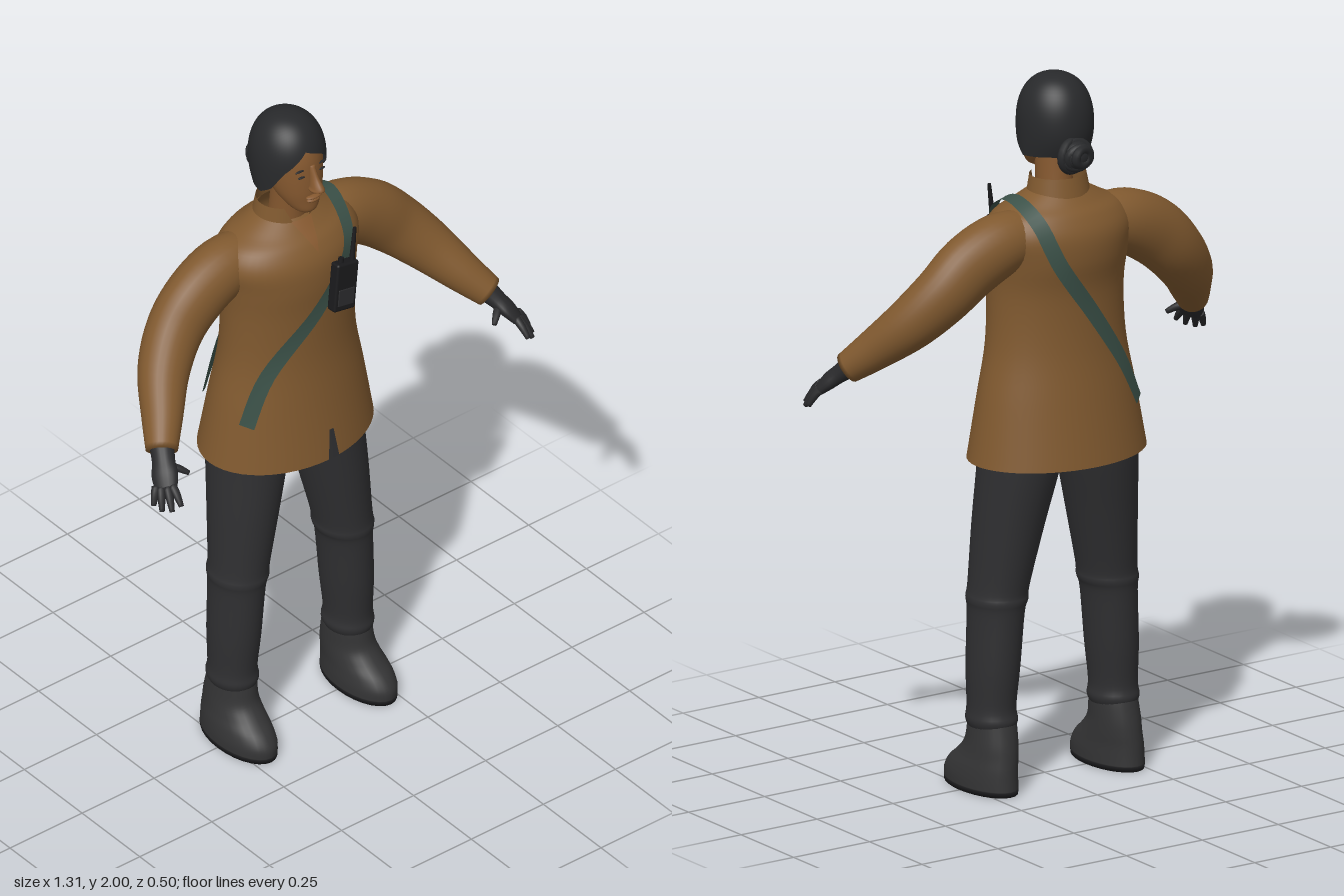
import * as THREE from 'three';
import { mergeVertices } from 'three/addons/utils/BufferGeometryUtils.js';
import { RoundedBoxGeometry } from 'three/addons/geometries/RoundedBoxGeometry.js';

const V = (x, y, z) => new THREE.Vector3(x, y, z);
const UP = V(0, 1, 0);

// Catmull-Rom interpolation of rows of numbers
function densify(rows, n = 5) {
  const out = [], at = i => rows[Math.min(rows.length - 1, Math.max(0, i))];
  for (let i = 0; i < rows.length - 1; i++)
    for (let k = 0; k < n; k++) {
      const t = k / n;
      out.push(rows[i].map((b, c) => {
        const a = at(i - 1)[c], d = at(i + 1)[c], e = at(i + 2)[c];
        return b + 0.5 * t * (d - a + t * (2 * a - 5 * b + 4 * d - e + t * (3 * (b - d) + e - a)));
      }));
    }
  out.push(rows[rows.length - 1]);
  return out;
}

// Linear lookup in a table whose column `key` ascends
function lookup(rows, key, value) {
  let i = 0;
  while (i < rows.length - 2 && rows[i + 1][key] < value) i++;
  const a = rows[i], b = rows[i + 1];
  const t = Math.min(1, Math.max(0, (value - a[key]) / (b[key] - a[key])));
  return a.map((n, c) => n + (b[c] - n) * t);
}

// Smooth surface from a rule fn(u, v) -> Vector3
function surface(fn, nu, nv) {
  const pos = [], index = [];
  for (let j = 0; j <= nv; j++)
    for (let i = 0; i <= nu; i++) pos.push(...fn(i / nu, j / nv).toArray());
  for (let j = 0; j < nv; j++)
    for (let i = 0; i < nu; i++) {
      const a = j * (nu + 1) + i, c = a + nu + 1;
      index.push(a, a + 1, c + 1, a, c + 1, c);
    }
  let g = new THREE.BufferGeometry();
  g.setAttribute('position', new THREE.Float32BufferAttribute(pos, 3));
  g.setIndex(index);
  g = mergeVertices(g);
  g.computeVertexNormals();
  return g;
}

// Elliptical sections [x, y, z, r1, r2]; level = horizontal rings, otherwise they follow the path
function loft(rows, { level = false, hint = V(0, 0, 1), caps = true, sides = 28, n = 5 } = {}) {
  const R = densify(rows, n), last = R.length - 1;
  const rings = R.map((r, i) => {
    const p = R[Math.max(0, i - 1)], q = R[Math.min(last, i + 1)];
    const T = level ? UP : V(q[0] - p[0], q[1] - p[1], q[2] - p[2]).normalize();
    const U = T.clone().cross(hint).normalize();
    return { c: V(r[0], r[1], r[2]), U, W: U.clone().cross(T), a: r[3], b: r[4] };
  });
  if (caps) {
    rings.unshift({ ...rings[0], a: 0, b: 0 });
    rings.push({ ...rings[rings.length - 1], a: 0, b: 0 });
  }
  const nv = rings.length - 1;
  return surface((u, v) => {
    const k = rings[Math.round(v * nv)], t = (Math.round(u * sides) % sides) / sides * Math.PI * 2;
    return k.c.clone().addScaledVector(k.U, k.a * Math.sin(t)).addScaledVector(k.W, k.b * Math.cos(t));
  }, sides, nv);
}

export function createModel() {
  const root = new THREE.Group();
  root.name = 'figure';
  const mat = (name, color, side = THREE.FrontSide) => {
    const m = new THREE.MeshStandardMaterial({ color, side });
    m.name = name;
    return m;
  };
  const D = THREE.DoubleSide;
  const jacket = mat('jacket brown', 0x80592f, D), skin = mat('skin', 0x85582f, D);
  const hair = mat('hair black', 0x28292b, D), trousers = mat('trouser charcoal', 0x2f2f31);
  const boots = mat('boot grey', 0x343435), gloves = mat('glove black', 0x2a2a2c);
  const strapGreen = mat('strap green', 0x3b5148, D), black = mat('black', 0x19191b, D);
  const add = (name, geo, m, parent = root) => {
    const mesh = new THREE.Mesh(geo, m);
    mesh.name = name;
    parent.add(mesh);
    return mesh;
  };
  const ball = (name, m, x, y, z, a, b, c) => {
    const s = add(name, new THREE.SphereGeometry(1, 20, 14), m);
    s.position.set(x, y, z);
    s.scale.set(a, b, c);
    return s;
  };

  // Jacket body: [y, half width, front z, back z]
  const body = [
    [0.93, 0.265, 0.138, -0.25], [1.1, 0.236, 0.115, -0.222], [1.25, 0.208, 0.1, -0.2],
    [1.4, 0.203, 0.1, -0.195], [1.5, 0.212, 0.105, -0.21], [1.57, 0.222, 0.098, -0.208],
    [1.62, 0.195, 0.072, -0.185], [1.65, 0.14, 0.04, -0.158], [1.68, 0.085, 0.008, -0.132],
  ].map(([y, w, f, b]) => [0, y, (f + b) / 2, w, (f - b) / 2]);
  add('jacketBody', loft(body, { level: true, caps: false, sides: 48 }), jacket);
  const dense = densify(body);
  const onBody = (x, y, side, off = 0) => {
    const [, , cz, rx, rz] = lookup(dense, 1, y);
    const z = side * rz * Math.sqrt(Math.max(0.02, 1 - (x / rx) ** 2));
    const n = V(x / rx ** 2, y > 1.58 ? 6 : 0, z / rz ** 2).normalize();
    return { p: V(x, y, cz + z).addScaledVector(n, off), n };
  };

  // Open collar and neckline
  add('collar', surface((u, v) => {
    const open = 0.12 + 0.5 * v, t = open + u * (Math.PI * 2 - 2 * open);
    return V((0.092 - 0.012 * v) * Math.sin(t), 1.655 + 0.065 * v - 0.012 * Math.cos(t) * (1 - v),
      -0.062 + (0.082 - 0.01 * v) * Math.cos(t));
  }, 40, 6), jacket);
  add('neckline', surface((u, v) =>
    onBody((u - 0.5) * 0.066 * v, 1.6 + 0.075 * v, 1, 0.004).p, 6, 8), skin);
  add('hemSlit', surface((u, v) =>
    onBody(0.012 + (u - 0.5) * 0.036 * (1 - 0.6 * v), 0.932 + 0.09 * v, 1, 0.004).p, 4, 4), trousers);

  // Diagonal strap: front rise, over the shoulder, down the back
  const track = [];
  const lay = (x, y, side) => {
    const { p, n } = onBody(x, y, side, 0.009);
    track.push([...p.toArray(), ...n.toArray()]);
  };
  [[-0.205, 1.08], [-0.15, 1.24], [-0.02, 1.42], [0.08, 1.55], [0.122, 1.615]].forEach(([x, y]) => lay(x, y, 1));
  track.push([0.148, 1.672, -0.06, 0.2, 1, 0]);
  [[0.13, 1.615], [0.085, 1.5], [-0.02, 1.35], [-0.12, 1.2], [-0.185, 1.07]].forEach(([x, y]) => lay(x, y, -1));
  const path = densify(track, 6);
  add('shoulderStrap', surface((u, v) => {
    const i = Math.round(v * (path.length - 1));
    const [p, q] = [path[Math.max(0, i - 1)], path[Math.min(path.length - 1, i + 1)]];
    const r = path[i], n = V(r[3], r[4], r[5]);
    const across = V(q[0] - p[0], q[1] - p[1], q[2] - p[2]).cross(n).normalize();
    return V(r[0], r[1], r[2]).addScaledVector(across, (u - 0.5) * 0.044);
  }, 2, path.length - 1), strapGreen);

  // Limbs, mirrored
  for (const s of [1, -1]) {
    const side = s > 0 ? 'left' : 'right';
    const m = rows => rows.map(([x, ...rest]) => [x * s, ...rest]);

    add(side + 'Sleeve', loft(m([
      [0.09, 1.565, -0.075, 0.07, 0.07], [0.2, 1.553, -0.077, 0.088, 0.08], [0.3, 1.505, -0.072, 0.093, 0.078],
      [0.38, 1.435, -0.06, 0.086, 0.075], [0.455, 1.355, -0.015, 0.074, 0.07], [0.52, 1.275, 0.06, 0.057, 0.057],
      [0.568, 1.218, 0.118, 0.044, 0.044],
    ])), jacket);

    // Gloved hand
    const hint = V(0.7 * s, 0.75, 0.42);
    add(side + 'Palm', loft(m([
      [0.555, 1.235, 0.1, 0.036, 0.034], [0.578, 1.2, 0.138, 0.032, 0.025],
      [0.595, 1.175, 0.165, 0.037, 0.021], [0.61, 1.148, 0.19, 0.031, 0.014],
    ]), { hint, sides: 18 }), gloves);
    [
      [[0.627, 1.152, 0.167], [0.65, 1.108, 0.185]], [[0.619, 1.152, 0.178], [0.642, 1.1, 0.212]],
      [[0.608, 1.155, 0.192], [0.625, 1.104, 0.235]], [[0.597, 1.16, 0.2], [0.602, 1.118, 0.246]],
      [[0.575, 1.188, 0.152], [0.53, 1.165, 0.188]],
    ].forEach(([a, b], i) => {
      const mid = a.map((n, c) => (n + b[c]) / 2 + (c === 1 ? 0.004 : 0));
      add(side + (i < 4 ? 'Finger' + (i + 1) : 'Thumb'), loft(m([
        [...a, 0.012, 0.012], [...mid, 0.011, 0.011], [...b, 0.007, 0.007],
      ]), { hint, sides: 10, n: 3 }), gloves);
    });

    add(side + 'TrouserLeg', loft(m([
      [0.2, 0.175, -0.035, 0.058, 0.07], [0.2, 0.2, -0.036, 0.068, 0.08], [0.2, 0.24, -0.035, 0.064, 0.075],
      [0.195, 0.35, -0.035, 0.07, 0.083], [0.186, 0.5, -0.035, 0.074, 0.088], [0.182, 0.54, -0.035, 0.082, 0.093],
      [0.177, 0.58, -0.036, 0.081, 0.092], [0.153, 0.75, -0.047, 0.096, 0.107],
      [0.126, 0.93, -0.062, 0.112, 0.122], [0.12, 1.02, -0.062, 0.115, 0.124],
    ]), { level: true }), trousers);

    add(side + 'Boot', loft(m([
      [0.208, 0.012, 0.002, 0.074, 0.142], [0.208, 0.04, 0.002, 0.074, 0.14], [0.207, 0.07, -0.008, 0.071, 0.128],
      [0.204, 0.1, -0.025, 0.067, 0.108], [0.202, 0.135, -0.038, 0.064, 0.09],
      [0.2, 0.18, -0.038, 0.062, 0.08], [0.2, 0.215, -0.036, 0.06, 0.073],
    ]), { level: true }), boots);
    add(side + 'Sole', loft(m([
      [0.208, 0, 0.002, 0.073, 0.141], [0.208, 0.013, 0.002, 0.0745, 0.1425],
    ]), { level: true, n: 1 }), black);
  }
  add('trouserSeat', loft([
    [0, 0.9, -0.062, 0.03, 0.07], [0, 0.94, -0.062, 0.16, 0.115], [0, 1.05, -0.06, 0.2, 0.13],
  ], { level: true }), trousers);

  // Neck and face
  add('neck', loft([
    [0, 1.6, -0.055, 0.06, 0.06], [0, 1.68, -0.046, 0.05, 0.055], [0, 1.8, -0.035, 0.048, 0.055],
  ], { level: true }), skin);
  add('face', loft([
    [0, 1.722, 0.035, 0.018, 0.018], [0, 1.735, 0.022, 0.038, 0.042], [0, 1.765, 0.002, 0.058, 0.064],
    [0, 1.8, -0.015, 0.071, 0.083], [0, 1.85, -0.03, 0.08, 0.096], [0, 1.9, -0.04, 0.082, 0.1],
    [0, 1.94, -0.045, 0.07, 0.088], [0, 1.97, -0.045, 0.03, 0.04],
  ], { level: true }), skin);
  add('nose', loft([
    [0, 1.806, 0.068, 0.013, 0.012], [0, 1.815, 0.078, 0.02, 0.026], [0, 1.825, 0.08, 0.016, 0.028],
    [0, 1.85, 0.068, 0.011, 0.018], [0, 1.885, 0.056, 0.009, 0.01],
  ], { level: true, sides: 16 }), skin);
  ball('upperLip', skin, 0, 1.785, 0.068, 0.026, 0.006, 0.012);
  ball('lowerLip', skin, 0, 1.773, 0.065, 0.022, 0.007, 0.012);
  for (const s of [1, -1]) {
    ball('eye', hair, s * 0.034, 1.856, 0.058, 0.013, 0.003, 0.004);
    ball('brow', hair, s * 0.036, 1.876, 0.055, 0.018, 0.003, 0.004);
  }

  // Swept hair: the lower edge height depends on the angle from the front
  const edge = [[-180, 1.785], [-130, 1.785], [-85, 1.785], [-66, 1.81], [-46, 1.868], [-10, 1.93],
    [20, 1.905], [48, 1.862], [66, 1.81], [85, 1.78], [130, 1.785], [180, 1.785]];
  add('hair', surface((u, v) => {
    const deg = -180 + 360 * (Math.round(u * 72) % 72) / 72, t = deg * Math.PI / 180;
    const low = lookup(edge, 0, deg)[1], y = low + (2 - low) * Math.sin(v * Math.PI / 2);
    const h = (y - 1.86) / 0.14, back = Math.max(0, -Math.cos(t));
    const r = h > 0 ? Math.pow(Math.max(0, 1 - h ** 2.3), 1 / 2.3) : 1 - h * h * (0.1 + 0.5 * back);
    return V(0.103 * r * Math.sin(t), y, -0.048 + 0.113 * r * Math.cos(t));
  }, 72, 20), hair);

  // Coiled bun
  ball('bunCore', hair, 0.01, 1.795, -0.165, 0.042, 0.04, 0.035);
  for (let i = 0; i < 4; i++) {
    const coil = add('bunCoil', new THREE.TorusGeometry(0.043 - i * 0.007, 0.012, 8, 24), hair);
    coil.position.set(0.01, 1.792 + (i % 2) * 0.004, -0.15 - i * 0.014);
    coil.rotation.set(0.25 * Math.sin(i * 2), 0.25 * Math.cos(i * 2), 0);
    coil.scale.x = 1.1;
  }

  // Chest radio
  const radio = new THREE.Group();
  radio.name = 'radio';
  radio.position.set(0.05, 1.497, 0.132);
  radio.rotation.set(-0.09, 0, -0.17);
  root.add(radio);
  add('radioBody', new RoundedBoxGeometry(0.074, 0.145, 0.034, 2, 0.007), black, radio);
  add('radioPanel', new RoundedBoxGeometry(0.054, 0.05, 0.006, 1, 0.002), gloves, radio).position.set(0, -0.03, 0.017);
  add('antenna', new THREE.CylinderGeometry(0.005, 0.008, 0.1, 12), black, radio).position.set(0.024, 0.118, 0);
  add('knob', new THREE.CylinderGeometry(0.008, 0.008, 0.016, 12), black, radio).position.set(-0.015, 0.078, 0);
  return root;
}
